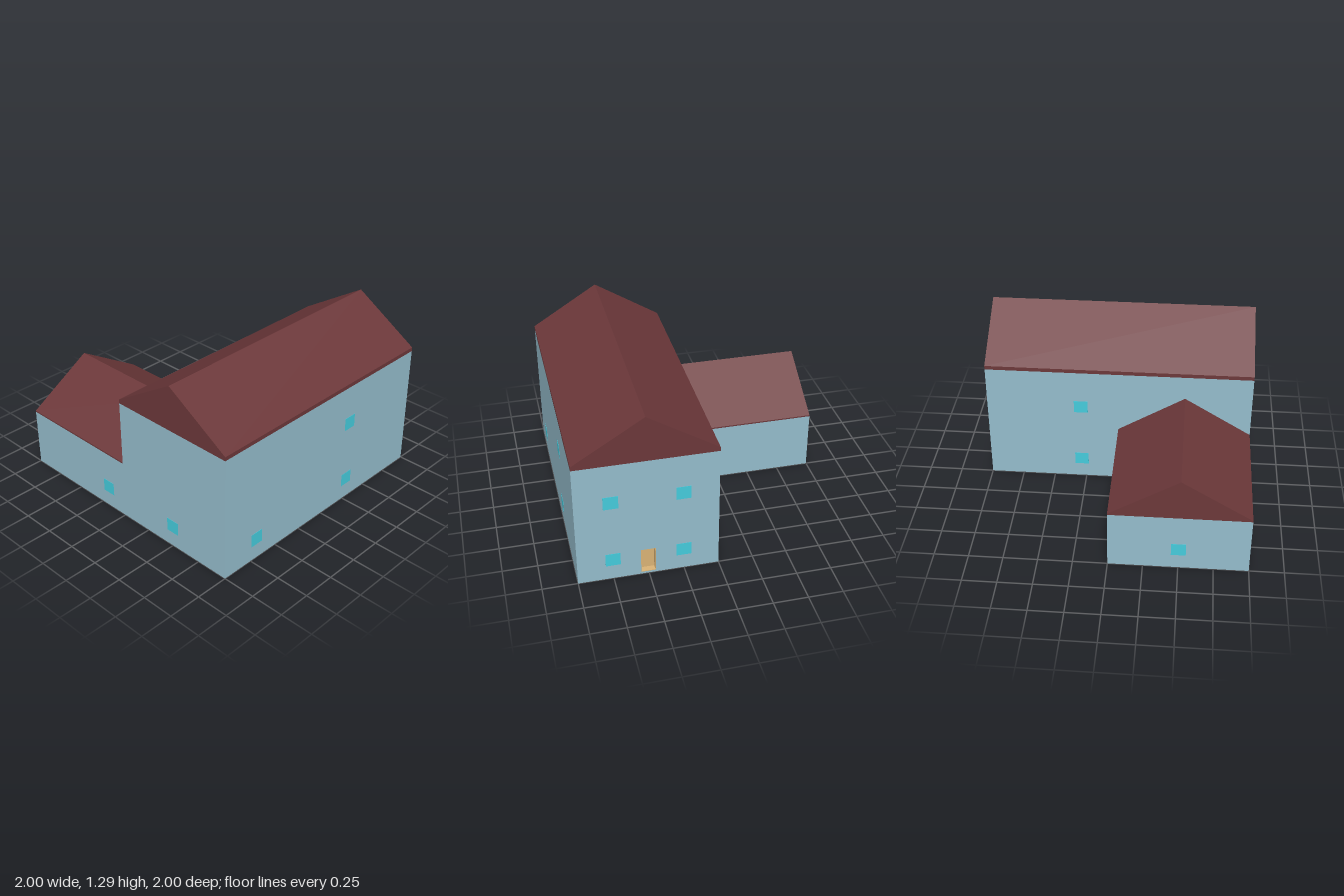
import * as THREE from 'three';

export function createModel() {
  const house = new THREE.Group();
  house.name = 'house';

  const material = (name, color) => {
    const m = new THREE.MeshStandardMaterial({ color });
    m.name = name;
    return m;
  };
  const wallBlue = material('wallBlue', 0x94bccb);
  const roofRed = material('roofRed', 0x6c383a);
  const doorTan = material('doorTan', 0xd9b275);
  const windowCyan = material('windowCyan', 0x45cbdc);

  const add = (name, geometry, mat, x = 0, y = 0, z = 0) => {
    const mesh = new THREE.Mesh(geometry, mat);
    mesh.name = name;
    mesh.position.set(x, y, z);
    house.add(mesh);
    return mesh;
  };
  const toVectors = (points) => points.map(([x, y]) => new THREE.Vector2(x, y));
  const rect = (u0, u1, y0, y1) => [[u0, y0], [u1, y0], [u1, y1], [u0, y1]];
  // Prism from an outline, optionally with one hole
  const prism = (outline, depth, hole) => {
    const shape = new THREE.Shape(toVectors(outline));
    if (hole) shape.holes.push(new THREE.Path(toVectors(hole)));
    return new THREE.ExtrudeGeometry(shape, { depth, bevelEnabled: false });
  };
  // Gable profile with a low fascia band under the slopes
  const gable = (base, eave, ridge) => [
    [-1, base], [0, base], [0, eave], [-0.5, ridge], [-1, eave],
  ];

  // Main house: solid body plus an end wall with the door opening
  const recess = 0.05;
  const opening = rect(-0.555, -0.45, 0.015, 0.21);
  add('mainWalls', new THREE.BoxGeometry(2 - recess, 0.95, 1), wallBlue, -recess / 2, 0.475, 0.5);
  add('doorWall', prism(rect(-1, 0, 0, 0.95), recess, opening).rotateY(Math.PI / 2), wallBlue, 1 - recess);
  add('mainRoof', prism(gable(0.95, 0.98, 1.29), 2).rotateY(Math.PI / 2), roofRed, -1);

  // Recessed door and its lining
  const lining = rect(-0.551, -0.454, 0.019, 0.206);
  add('door', new THREE.BoxGeometry(0.006, 0.195, 0.105), doorTan, 0.953, 0.1125, 0.5025);
  add('doorFrame', prism(opening, recess, lining).rotateY(Math.PI / 2), doorTan, 1 - recess);

  // Low rear wing
  add('wingWalls', new THREE.BoxGeometry(1, 0.45, 1), wallBlue, -0.5, 0.225, -0.5);
  add('wingRoof', prism(gable(0.45, 0.46, 0.765), 1), roofRed, 0, 0, -1);

  // Windows: thin square plates, turned to face out of each wall
  const low = 0.165, high = 0.65;
  const pane = new THREE.BoxGeometry(0.105, 0.1, 0.004);
  const windows = [
    ['frontWindow', 0, [[-0.69, low, 1], [0.285, low, 1], [0.285, high, 1]]],
    ['leftWindow', Math.PI / 2, [
      [1, low, 0.75], [1, low, 0.25], [1, high, 0.75], [1, high, 0.25], [0, low, -0.17],
    ]],
    ['backWindow', Math.PI, [[0.285, low, 0], [0.285, high, 0], [-0.5, low, -1]]],
    ['rightWindow', -Math.PI / 2, [[-1, low, 0.5], [-1, low, -0.17]]],
  ];
  for (const [name, turn, places] of windows) {
    for (const place of places) add(name, pane, windowCyan, ...place).rotation.y = turn;
  }

  return house;
}
